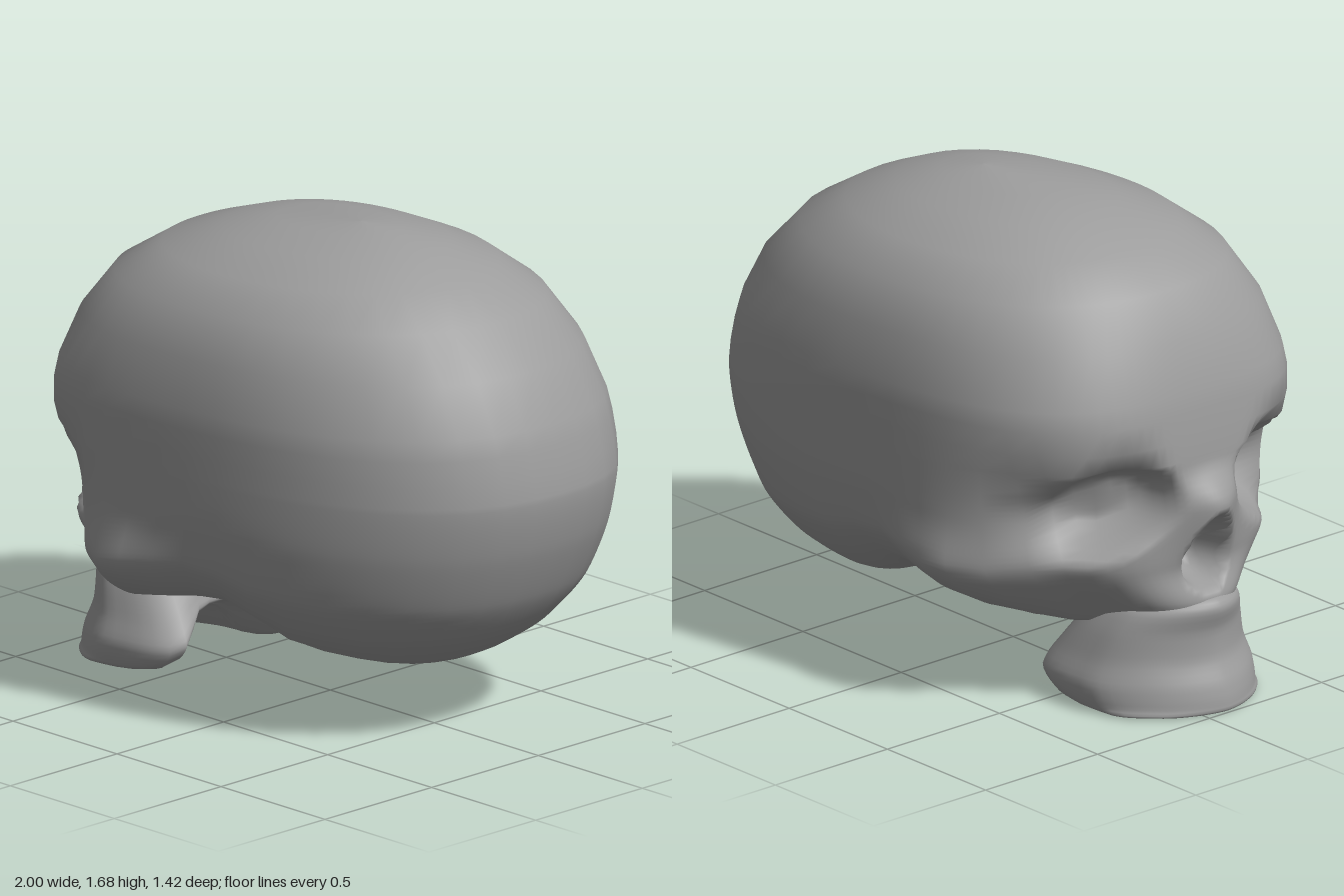
import * as THREE from 'three';

const bell = (d, r) => Math.exp(-((d / r) ** 2));
const step = THREE.MathUtils.smoothstep;

// Stacks horizontal super-ellipse sections, with more corners towards the face.
// Rows are [y, front x, back x, half width, rings up to the next row];
// the exponents make the front and back of each section rounder or squarer.
function loft(name, rows, segs, exponents, shape) {
  const curve = pick => new THREE.CatmullRomCurve3(rows.map(pick), false, 'catmullrom', 0.4);
  const spine = curve(r => new THREE.Vector3(r[0], r[1], r[2]));
  const width = curve(r => new THREE.Vector3(r[3], 0, 0));
  const levels = [];
  rows.forEach(([, , , , count], i) => {
    for (let k = 0; k < count; k++) levels.push((i + k / count) / (rows.length - 1));
  });
  levels.push(1);
  const pos = [], index = [], p = new THREE.Vector3();
  levels.forEach((t, i) => {
    const s = spine.getPoint(t), w = Math.max(0, width.getPoint(t).x);
    const mid = s.y + 0.48 * (s.z - s.y);
    const [frontN, backN] = exponents(s.x);
    for (let j = 0; j < segs; j++) {
      const turn = j / segs * Math.PI * 2, a = turn + 0.75 * Math.sin(turn);
      const c = Math.cos(a), d = Math.sin(a), n = c < 0 ? frontN : backN;
      const r = 1 / Math.pow(Math.abs(c) ** n + Math.abs(d) ** n, 1 / n);
      p.set(mid + c * r * (c < 0 ? mid - s.y : s.z - mid), s.x, d * r * w);
      shape(p);
      pos.push(p.x, p.y, p.z - 0.1 * p.x - 0.015); // the head is turned slightly
      if (i < levels.length - 1) {
        const k = i * segs, e = (j + 1) % segs;
        index.push(k + j, k + segs + j, k + e, k + e, k + segs + j, k + segs + e);
      }
    }
  });
  const geo = new THREE.BufferGeometry();
  geo.setAttribute('position', new THREE.Float32BufferAttribute(pos, 3));
  geo.setIndex(index);
  geo.computeVertexNormals();
  const mesh = new THREE.Mesh(geo, new THREE.MeshStandardMaterial({ color: 0x9c9c9c }));
  mesh.name = name;
  return mesh;
}

// Height of the skull base along x
const base = [[-1.1, 0.25], [-0.58, 0.25], [-0.5, 0.27], [-0.38, 0.29], [-0.22, 0.32], [-0.04, 0.36], [0.05, 0.33], [0.22, 0.25], [0.5, 0.22], [1.1, 0.22]];
function baseHeight(x) {
  const i = base.findIndex(b => x <= b[0]);
  const [x0, y0] = base[i - 1], [x1, y1] = base[i];
  return THREE.MathUtils.mapLinear(x, x0, x1, y0, y1);
}

function shapeCranium(p) {
  // lift the underside to the base line, hollow between the cheeks
  const top = 0.8;
  if (p.y < top) {
    const hollow = 0.22 * bell(p.x + 0.24, 0.2) * Math.exp(-((p.z / 0.4) ** 6));
    const floor = baseHeight(p.x) + hollow;
    p.y = floor + (p.y - 0.22) * (top - floor) / (top - 0.22);
  }
  // cheekbones, and the face narrowing towards the upper jaw
  p.z *= 1 + 0.14 * bell(p.x + 0.35, 0.2) * bell(p.y - 0.48, 0.15);
  const face = step(-p.x, 0.43, 0.73);
  p.z *= 1 - face * (0.2 * (1 - step(p.y, 0.7, 1.05)) + 0.3 * (1 - step(p.y, 0.25, 0.56)));
  // eye sockets
  const side = Math.sign(p.z), az = Math.abs(p.z);
  const flat = Math.hypot(p.x + 0.79, az - 0.34) / 0.25;
  const rise = p.y - 0.75 + 0.35 * (p.x + 0.79);
  const socket = 0.18 * (1 - step(Math.hypot(flat, rise / (rise > 0 ? 0.17 : 0.19)), 0.4, 1.05));
  // nasal bones, the opening below them and the muzzle that meets the jaw
  const front = step(-p.x, 0.6, 0.75);
  const ridge = 0.085 * front * bell(az, 0.12) * step(p.y, 0.36, 0.73) * (1 - step(p.y, 0.73, 0.88));
  const opening = 0.15 * front * (1 - step(Math.hypot(az / (0.1 - 0.2 * (p.y - 0.56)), (p.y - 0.56) / 0.15), 0.6, 1));
  const muzzle = 0.08 * front * bell(az, 0.2) * (1 - step(p.y, 0.36, 0.52));
  p.x += socket * 0.8 - ridge + opening - muzzle;
  p.z -= side * socket * 0.55;
}

// Hollows the palate, open towards the back
function shapeUpperJaw(p) {
  const arch = 0.16 * Math.exp(-((p.z / 0.2) ** 4)) * step(p.x, -0.93, -0.7) * Math.max(0, 1 - p.y / 0.32);
  p.y += arch;
  p.x -= 1.1 * arch * step(p.x, -0.65, -0.4);
}

export function createModel() {
  const group = new THREE.Group();
  group.name = 'skull';
  group.add(loft('cranium', [
    [0.22, 0.0, 0.1, 0, 3], [0.22, -0.6, 0.5, 0.27, 3], [0.26, -0.8, 0.63, 0.42, 6], [0.36, -0.86, 0.77, 0.54, 8],
    [0.5, -0.88, 0.88, 0.63, 9], [0.7, -0.89, 0.965, 0.668, 9], [0.9, -0.9, 1.0, 0.675, 3], [1.13, -0.87, 0.95, 0.672, 1],
    [1.3, -0.82, 0.87, 0.645, 1], [1.45, -0.73, 0.74, 0.58, 1], [1.55, -0.58, 0.58, 0.46, 1], [1.62, -0.38, 0.42, 0.3, 1],
    [1.66, -0.2, 0.27, 0.15, 1], [1.675, 0.12, 0.12, 0, 0],
  ], 64, y => [3.2 - step(y, 1, 1.6), 2.4 - 0.3 * step(y, 1, 1.6)], shapeCranium));
  group.add(loft('upperJaw', [
    [0, -0.75, -0.7, 0, 5], [0, -0.98, -0.56, 0.28, 4], [0.03, -1.0, -0.42, 0.32, 4], [0.1, -0.985, -0.37, 0.33, 4],
    [0.18, -0.95, -0.42, 0.3, 4], [0.28, -0.945, -0.5, 0.265, 4], [0.36, -0.965, -0.54, 0.22, 4], [0.4, -0.92, -0.58, 0.14, 4],
    [0.41, -0.7, -0.7, 0, 0],
  ], 64, () => [1.65, 3.6], shapeUpperJaw));
  return group;
}
